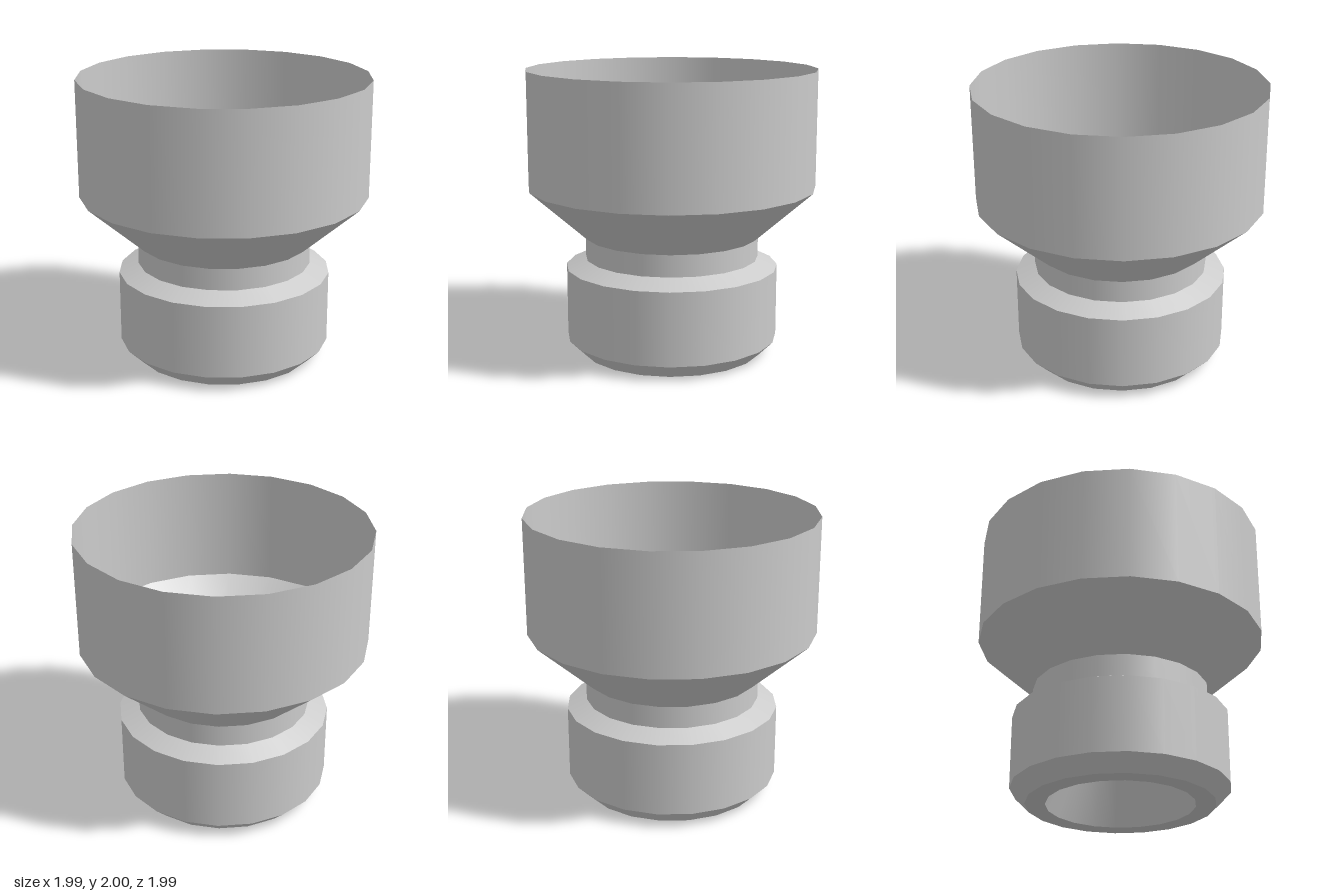
import * as THREE from 'three';

const SIDES = 20;
// The profile gives distances to the flats; corners lie a little further out.
const CORNER = 1 / Math.cos(Math.PI / SIDES);

// One continuous thin sheet, from the middle of the recess to the rim.
// Each entry: [name of the band ending here, radius, height]
const PROFILE = [
  ['start', 0, 0.32],
  ['recessCeiling', 0.37, 0.32],
  ['recessWall', 0.5, 0],
  ['baseRing', 0.635, 0],
  ['baseChamfer', 0.738, 0.104],
  ['lowerBody', 0.738, 0.615],
  ['shoulder', 0.603, 0.678],
  ['neck', 0.603, 0.83],
  ['funnel', 0.995, 1.183],
  ['cupWall', 0.995, 2],
];

export function createModel() {
  const group = new THREE.Group();
  group.name = 'stemmedCup';
  const material = new THREE.MeshStandardMaterial({ color: 0xcccccc, side: THREE.DoubleSide });
  const point = ([, r, y]) => new THREE.Vector2(r * CORNER, y);

  // Separate bands: smooth around the axis, sharp where bands meet
  for (let i = 1; i < PROFILE.length; i++) {
    const band = [point(PROFILE[i - 1]), point(PROFILE[i])];
    const geometry = new THREE.LatheGeometry(band, SIDES, Math.PI / SIDES);
    const mesh = new THREE.Mesh(geometry, material);
    mesh.name = PROFILE[i][0];
    group.add(mesh);
  }
  return group;
}
